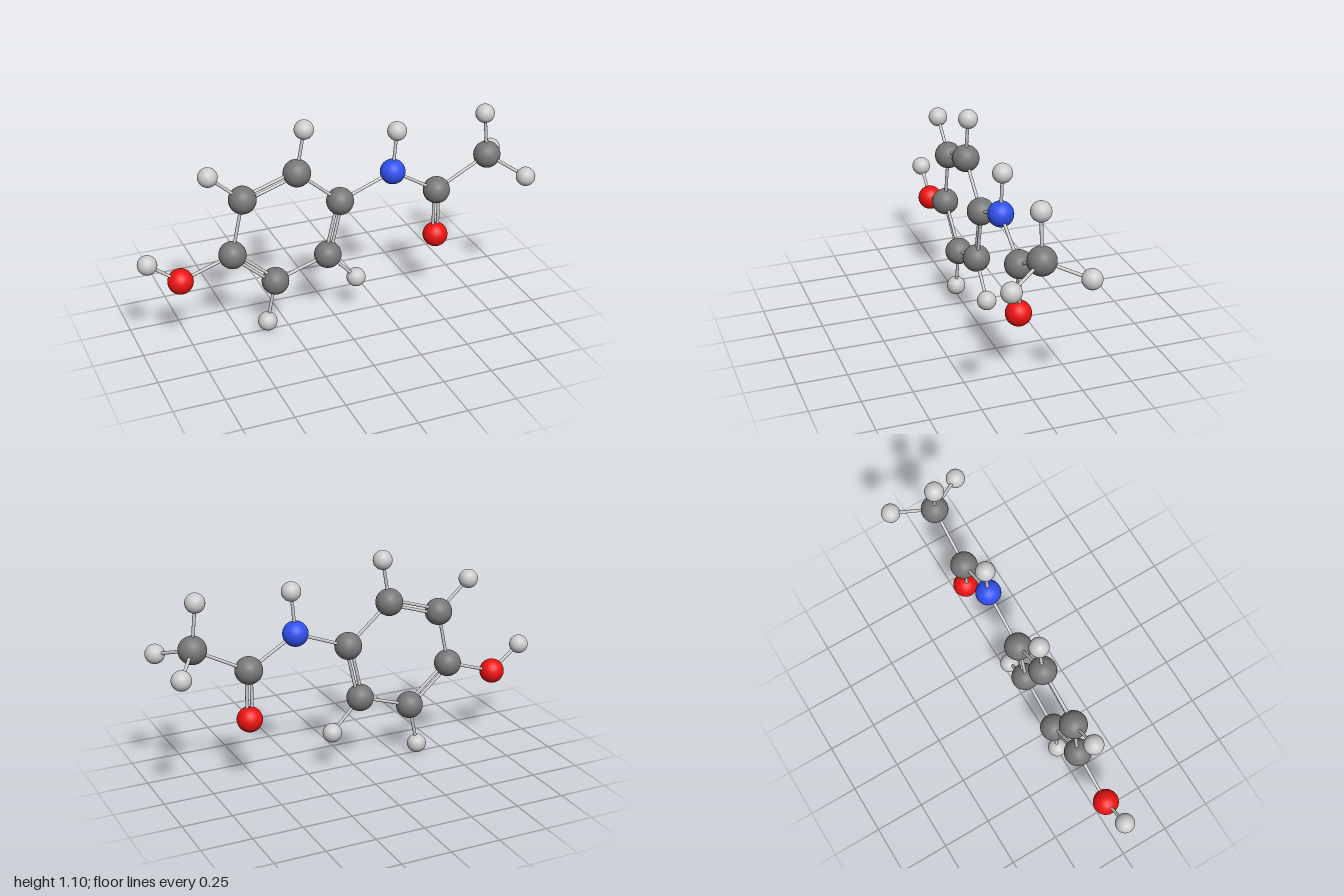
import * as THREE from 'three';

const ELEMENTS = {
  carbon: { radius: 0.068, color: 0x777777 },
  hydrogen: { radius: 0.048, color: 0xcccccc },
  oxygen: { radius: 0.063, color: 0xee1212 },
  nitrogen: { radius: 0.063, color: 0x3050ee },
};

// name: [element, x, y, z]
const ATOMS = {
  ringCarbon1: ['carbon', -0.531, 0.462, 0],
  ringCarbon2: ['carbon', -0.472, 0.747, 0],
  ringCarbon3: ['carbon', -0.195, 0.838, 0],
  ringCarbon4: ['carbon', 0.028, 0.646, 0],
  ringCarbon5: ['carbon', -0.037, 0.362, 0],
  ringCarbon6: ['carbon', -0.315, 0.271, 0],
  ringHydrogen2: ['hydrogen', -0.638, 0.896, 0],
  ringHydrogen3: ['hydrogen', -0.157, 1.058, 0],
  ringHydrogen5: ['hydrogen', 0.116, 0.2, 0],
  ringHydrogen6: ['hydrogen', -0.36, 0.05, 0],
  hydroxylOxygen: ['oxygen', -0.795, 0.373, 0],
  hydroxylHydrogen: ['hydrogen', -0.952, 0.495, 0],
  amideNitrogen: ['nitrogen', 0.307, 0.755, 0],
  amideHydrogen: ['hydrogen', 0.326, 0.969, 0],
  carbonylCarbon: ['carbon', 0.55, 0.609, 0],
  carbonylOxygen: ['oxygen', 0.552, 0.357, 0],
  methylCarbon: ['carbon', 0.826, 0.757, 0],
  methylHydrogenTop: ['hydrogen', 0.804, 0.984, 0],
  methylHydrogenFront: ['hydrogen', 0.948, 0.695, 0.187],
  methylHydrogenBack: ['hydrogen', 0.948, 0.695, -0.187],
};

// [from, to, order]
const BONDS = [
  ['ringCarbon1', 'ringCarbon2', 1],
  ['ringCarbon2', 'ringCarbon3', 2],
  ['ringCarbon3', 'ringCarbon4', 1],
  ['ringCarbon4', 'ringCarbon5', 2],
  ['ringCarbon5', 'ringCarbon6', 1],
  ['ringCarbon6', 'ringCarbon1', 2],
  ['ringCarbon2', 'ringHydrogen2', 1],
  ['ringCarbon3', 'ringHydrogen3', 1],
  ['ringCarbon5', 'ringHydrogen5', 1],
  ['ringCarbon6', 'ringHydrogen6', 1],
  ['ringCarbon1', 'hydroxylOxygen', 1],
  ['hydroxylOxygen', 'hydroxylHydrogen', 1],
  ['ringCarbon4', 'amideNitrogen', 1],
  ['amideNitrogen', 'amideHydrogen', 1],
  ['amideNitrogen', 'carbonylCarbon', 1],
  ['carbonylCarbon', 'carbonylOxygen', 2],
  ['carbonylCarbon', 'methylCarbon', 1],
  ['methylCarbon', 'methylHydrogenTop', 1],
  ['methylCarbon', 'methylHydrogenFront', 1],
  ['methylCarbon', 'methylHydrogenBack', 1],
];

const BOND_RADIUS = 0.008;
const DOUBLE_OFFSET = 0.0125;
const UP = new THREE.Vector3(0, 1, 0);

export function createModel() {
  const model = new THREE.Group();
  model.name = 'molecule';

  // Atoms: one shared sphere and material per element
  const kinds = {};
  for (const [element, { radius, color }] of Object.entries(ELEMENTS)) {
    kinds[element] = {
      geometry: new THREE.SphereGeometry(radius, 40, 28),
      material: new THREE.MeshStandardMaterial({ color }),
    };
  }
  const positions = {};
  for (const [name, [element, x, y, z]] of Object.entries(ATOMS)) {
    const atom = new THREE.Mesh(kinds[element].geometry, kinds[element].material);
    atom.name = name;
    atom.position.set(x, y, z);
    positions[name] = atom.position;
    model.add(atom);
  }

  // Bonds: a single rod, or two rods side by side in the plane of the ring
  const bondMaterial = new THREE.MeshStandardMaterial({ color: 0xcccccc });
  for (const [from, to, order] of BONDS) {
    const a = positions[from];
    const b = positions[to];
    const direction = b.clone().sub(a);
    const rod = new THREE.CylinderGeometry(BOND_RADIUS, BOND_RADIUS, direction.length(), 16);
    direction.normalize();

    const bond = new THREE.Group();
    bond.name = `${order === 2 ? 'doubleBond' : 'singleBond'}_${from}_${to}`;
    bond.position.copy(a).add(b).multiplyScalar(0.5);
    bond.quaternion.setFromUnitVectors(UP, direction);
    for (const offset of order === 2 ? [-DOUBLE_OFFSET, DOUBLE_OFFSET] : [0]) {
      const mesh = new THREE.Mesh(rod, bondMaterial);
      mesh.name = 'bondRod';
      mesh.position.x = offset;
      bond.add(mesh);
    }
    model.add(bond);
  }
  return model;
}
